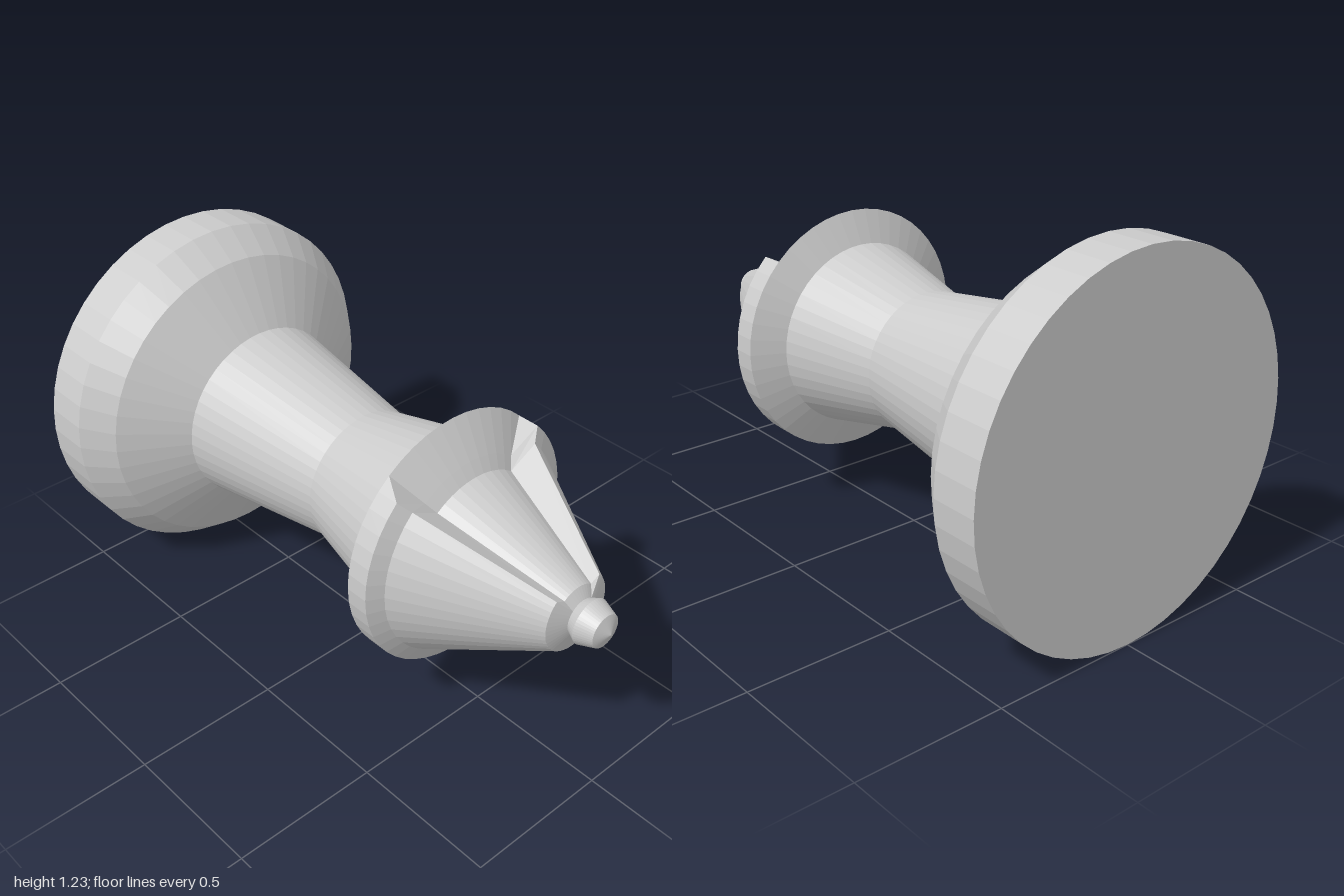
import * as THREE from 'three';

const SIDES = 48;
const AXIS_Y = 0.613;
const material = new THREE.MeshStandardMaterial({ color: 0xcccccc, flatShading: true });

// Skin a row of rings along z. Each ring is [z, radius, radius inside the notch].
function loft(name, rings) {
  const positions = [];
  const notchHalf = THREE.MathUtils.degToRad(38);
  const point = (i, j) => {
    const a = ((i % SIDES) / SIDES) * Math.PI * 2;
    const [z, full, cut = full] = rings[j];
    const r = Math.abs(a - Math.PI / 2) < notchHalf ? cut : full;
    return [r * Math.cos(a), r * Math.sin(a), z];
  };
  for (let j = 0; j < rings.length - 1; j++) {
    for (let i = 0; i < SIDES; i++) {
      const a = point(i, j), b = point(i + 1, j);
      const c = point(i + 1, j + 1), d = point(i, j + 1);
      if (rings[j][1] > 0) positions.push(...a, ...b, ...c);
      if (rings[j + 1][1] > 0) positions.push(...a, ...c, ...d);
    }
  }
  const geometry = new THREE.BufferGeometry();
  geometry.setAttribute('position', new THREE.Float32BufferAttribute(positions, 3));
  geometry.computeVertexNormals();
  const mesh = new THREE.Mesh(geometry, material);
  mesh.name = name;
  mesh.position.y = AXIS_Y;
  return mesh;
}

export function createModel() {
  const group = new THREE.Group();
  group.name = 'chessBishop';

  // Heavy foot with a flat underside and a sloping shoulder
  group.add(loft('base', [[-1, 0], [-1, 0.613], [-0.84, 0.613], [-0.735, 0.535], [-0.6, 0.317]]));

  // Waisted stem
  group.add(loft('stem', [[-0.6, 0.317], [-0.065, 0.238], [0.283, 0.317]]));

  // Collar and conical head, with a quarter recessed at the top
  group.add(loft('head', [
    [0.283, 0.317], [0.335, 0.425], [0.413, 0.425, 0.305],
    [0.44, 0.372, 0.262], [0.865, 0.132, 0.096], [0.888, 0.062],
  ]));

  // Small knob at the tip
  group.add(loft('finial', [[0.888, 0.062], [0.92, 0.078], [0.978, 0.057], [1, 0]]));

  return group;
}
